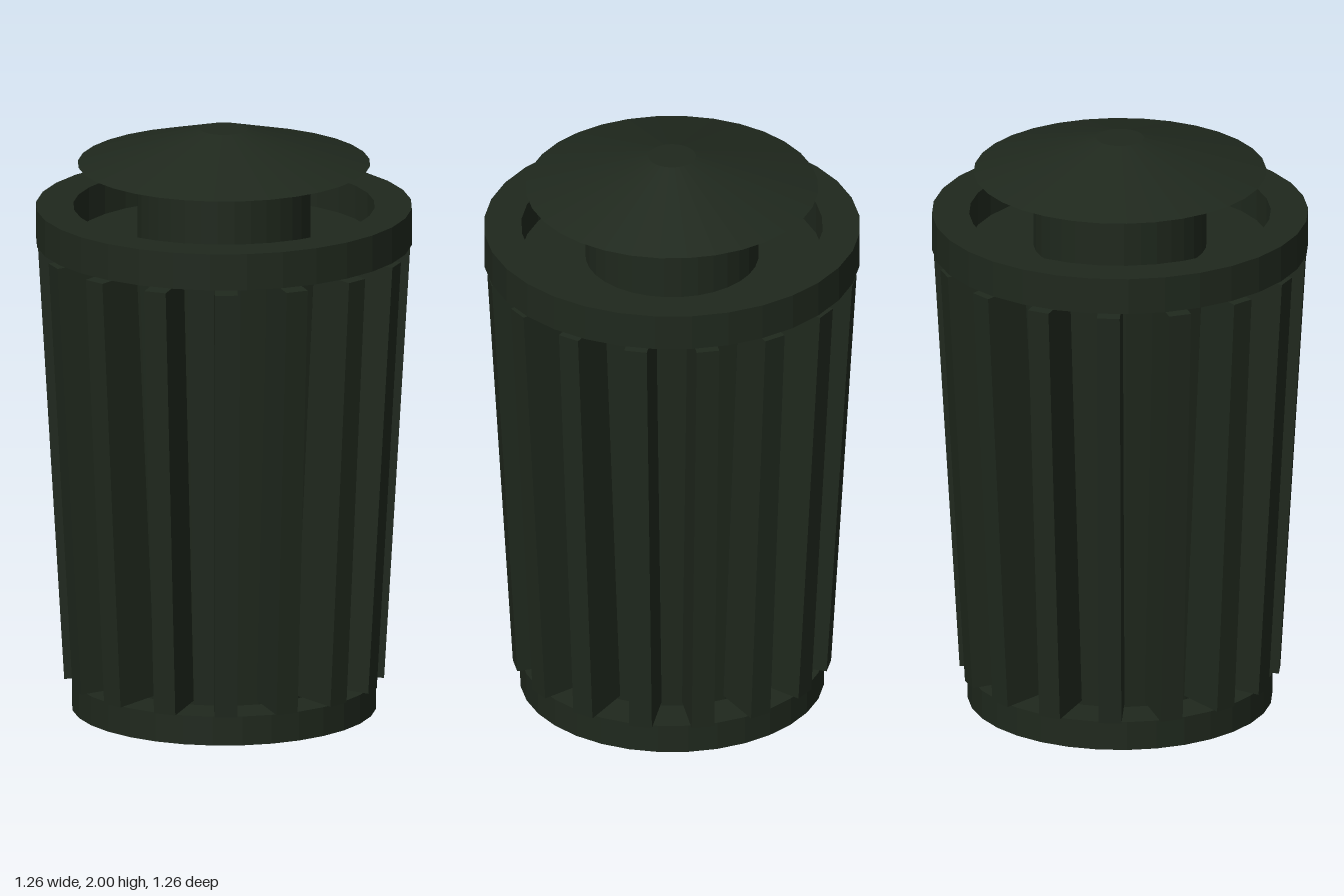
import * as THREE from 'three';

const SIDES = 32;
const SLATS = 16;

export function createModel() {
  const group = new THREE.Group();
  group.name = 'litterBin';
  const material = new THREE.MeshStandardMaterial({ color: 0x1f281d, flatShading: true });

  // Turned part from [radius, height] pairs, listed from the underside up
  const turned = (name, profile) => {
    const points = profile.map(([r, y]) => new THREE.Vector2(r, y));
    const mesh = new THREE.Mesh(new THREE.LatheGeometry(points, SIDES), material);
    mesh.name = name;
    group.add(mesh);
  };

  turned('base', [[0, 0], [0.51, 0], [0.51, 0.1], [0, 0.1]]);
  turned('core', [[0.37, 0.1], [0.46, 1.61]]);
  // Rim with a recessed floor
  turned('rim', [[0, 1.61], [0.63, 1.61], [0.63, 1.735], [0.505, 1.735], [0.505, 1.62], [0, 1.62]]);
  turned('neck', [[0.29, 1.62], [0.29, 1.87]]);
  turned('cap', [[0, 1.862], [0.29, 1.864], [0.49, 1.88], [0.08, 2], [0, 2]]);

  // Ring of slats that lean outward toward the top
  const bottom = new THREE.Vector2(0.535, 0.105);
  const top = new THREE.Vector2(0.622, 1.59);
  const depth = 0.18;
  const lean = Math.atan2(top.x - bottom.x, top.y - bottom.y);
  const slatGeometry = new THREE.BoxGeometry(0.077, bottom.distanceTo(top), depth);
  slatGeometry.translate(0, 0, -depth / 2);
  slatGeometry.rotateX(lean);
  slatGeometry.translate(0, (bottom.y + top.y) / 2, (bottom.x + top.x) / 2);

  const slats = new THREE.Group();
  slats.name = 'slats';
  for (let i = 0; i < SLATS; i++) {
    const slat = new THREE.Mesh(slatGeometry, material);
    slat.name = 'slat';
    slat.rotation.y = THREE.MathUtils.degToRad(5) + (i / SLATS) * Math.PI * 2;
    slats.add(slat);
  }
  group.add(slats);
  return group;
}
